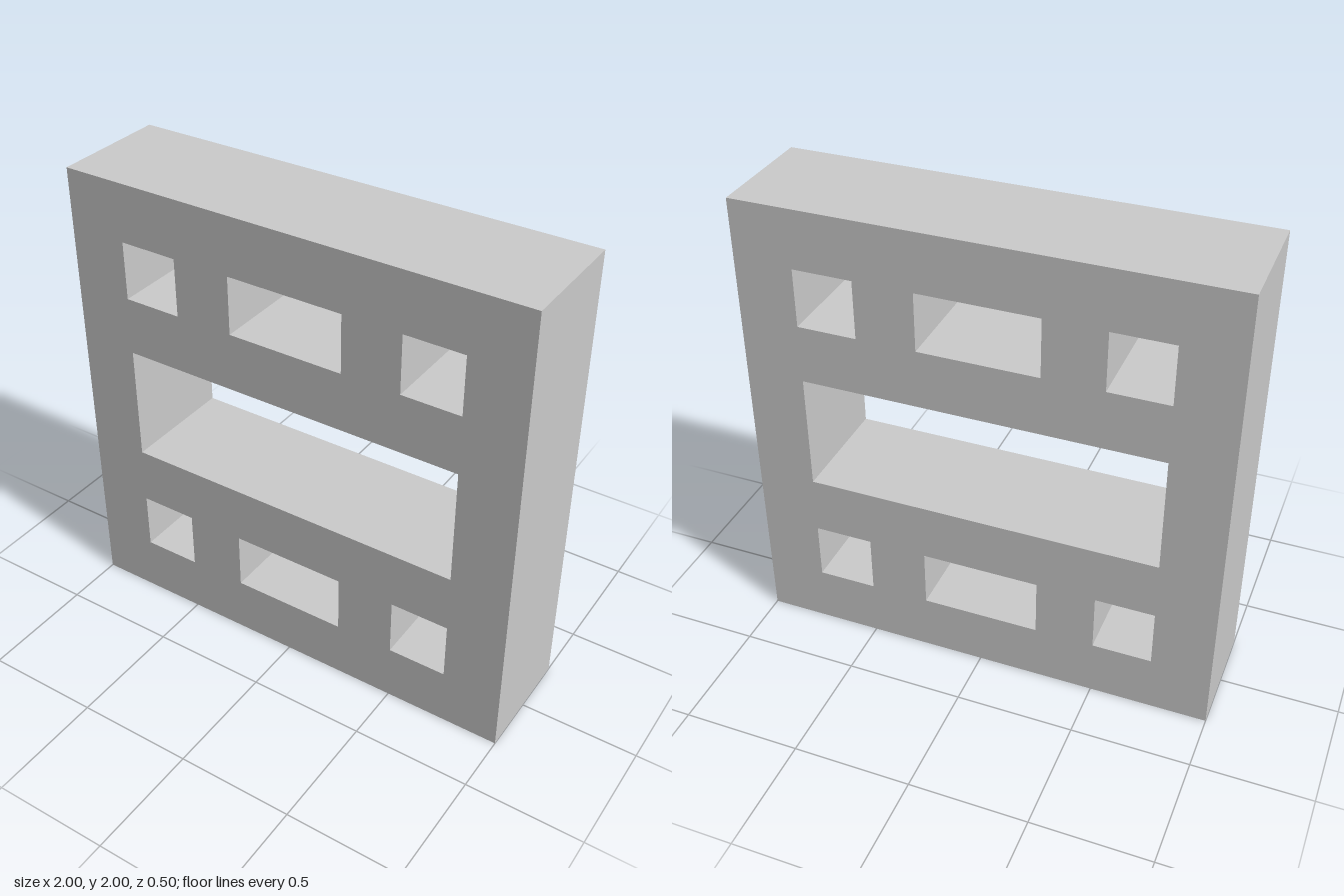
import * as THREE from 'three';

const DEPTH = 0.5;

// Trace an axis-aligned rectangle, given its centre and size
function rectangle(path, x, y, width, height) {
  const w = width / 2, h = height / 2;
  path.moveTo(x - w, y - h);
  path.lineTo(x + w, y - h);
  path.lineTo(x + w, y + h);
  path.lineTo(x - w, y + h);
  path.closePath();
  return path;
}

export function createModel() {
  const group = new THREE.Group();
  group.name = 'piercedBlock';

  // Square slab outline
  const outline = rectangle(new THREE.Shape(), 0, 1, 2, 2);
  const cut = (x, y, w, h) => outline.holes.push(rectangle(new THREE.Path(), x, y, w, h));

  // Large central opening
  cut(0, 1, 1.5, 0.5);

  // Upper and lower rows: a wide slot between two square openings
  for (const y of [0.375, 1.625]) {
    cut(0, y, 0.5, 0.25);
    for (const side of [-1, 1]) cut(side * 0.625, y, 0.25, 0.25);
  }

  const geometry = new THREE.ExtrudeGeometry(outline, { depth: DEPTH, bevelEnabled: false });
  geometry.translate(0, 0, -DEPTH / 2);

  const block = new THREE.Mesh(
    geometry,
    new THREE.MeshStandardMaterial({ color: 0xcccccc, flatShading: true })
  );
  block.name = 'block';
  group.add(block);
  return group;
}
